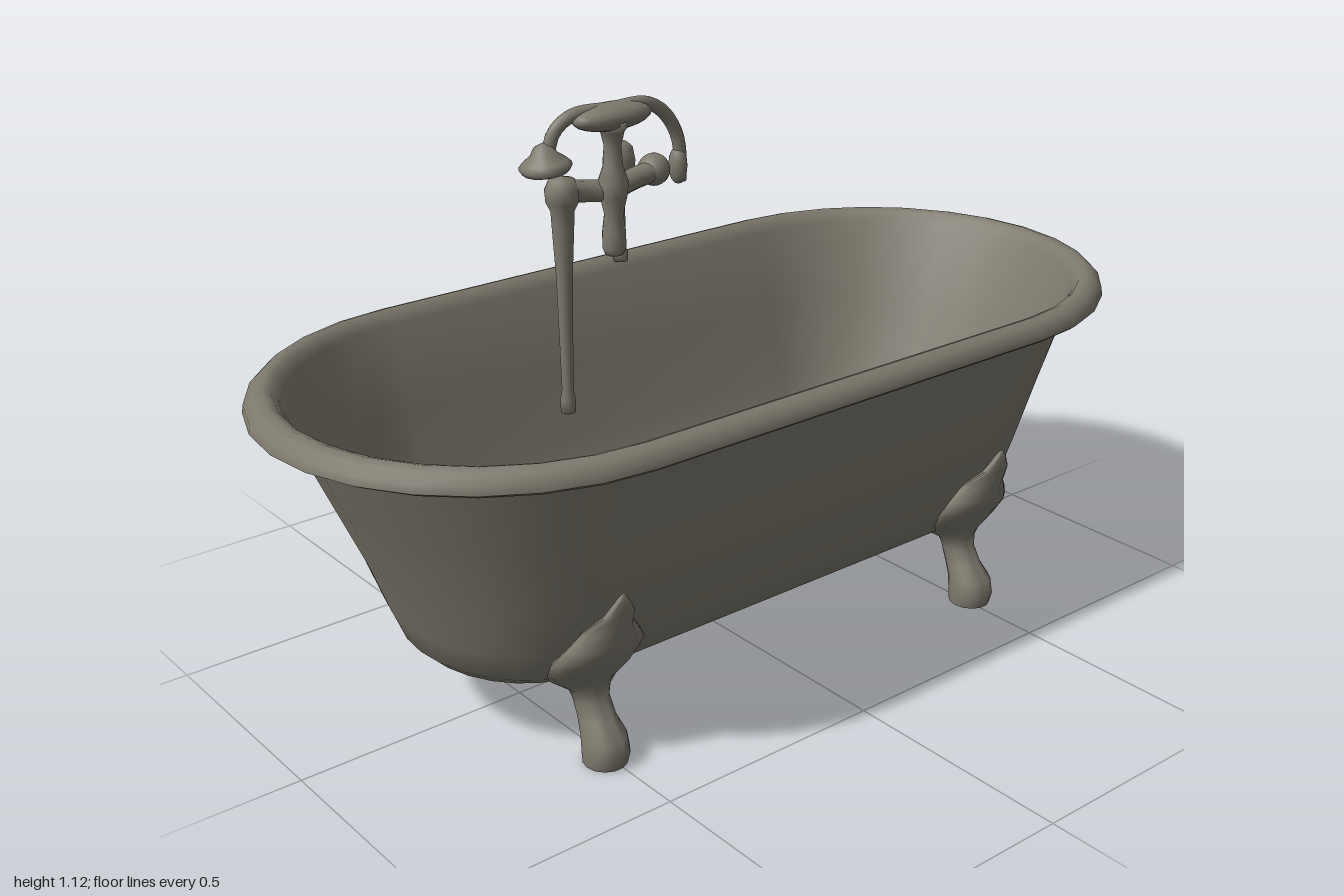
import * as THREE from 'three';
import { toCreasedNormals } from 'three/addons/utils/BufferGeometryUtils.js';

const metal = new THREE.MeshStandardMaterial({ color: 0x7d796d });
metal.name = 'warm grey enamel';

// Skin a list of equal-length rings, ordered bottom to top, counter-wise from +x to +z
function loft(rings, crease = 0.7) {
  const n = rings[0].length, pos = rings.flat(2), idx = [];
  for (let i = 0; i < rings.length - 1; i++) {
    for (let j = 0; j < n; j++) {
      const k = (j + 1) % n, a = i * n + j, b = i * n + k;
      idx.push(a, a + n, b, b, a + n, b + n);
    }
  }
  const g = new THREE.BufferGeometry();
  g.setAttribute('position', new THREE.Float32BufferAttribute(pos, 3));
  g.setIndex(idx);
  return toCreasedNormals(g, crease);
}

// Stadium outline: straight sides with elliptical ends
function stadium(hx, hz, y, straight = 0.5) {
  const pts = [], steps = 14, s = Math.min(straight, hx);
  for (const side of [1, -1]) {
    for (let i = 0; i <= steps; i++) {
      const a = (i / steps - 0.5) * Math.PI;
      pts.push([side * (s + (hx - s) * Math.cos(a)), y, side * hz * Math.sin(a)]);
    }
  }
  return pts;
}

function add(group, geometry, name, x = 0, y = 0, z = 0) {
  const m = new THREE.Mesh(geometry, metal);
  m.name = name;
  m.position.set(x, y, z);
  group.add(m);
  return m;
}

const lathe = pts => new THREE.LatheGeometry(pts.map(p => new THREE.Vector2(...p)), 16);

function tube(points, r) {
  const curve = new THREE.CatmullRomCurve3(points.map(p => new THREE.Vector3(...p)));
  return new THREE.TubeGeometry(curve, 28, r, 10);
}

// Clawed foot that spreads into a leaf lying against the tub wall
function footGeometry() {
  // y, centre z, half width, half depth
  const sections = [
    [0.005, 0.31, 0, 0], [0.005, 0.31, 0.044, 0.046], [0.03, 0.313, 0.047, 0.05],
    [0.065, 0.307, 0.044, 0.05], [0.095, 0.285, 0.036, 0.043], [0.13, 0.267, 0.036, 0.037],
    [0.155, 0.262, 0.045, 0.038], [0.175, 0.27, 0.075, 0.038], [0.205, 0.292, 0.1, 0.036],
    [0.245, 0.318, 0.108, 0.034], [0.275, 0.335, 0.085, 0.028], [0.31, 0.35, 0.057, 0.022],
    [0.35, 0.365, 0.035, 0.016], [0.385, 0.377, 0.013, 0.009], [0.4, 0.38, 0, 0],
  ];
  return loft(sections.map(([y, z, w, d]) => {
    const ring = [];
    for (let i = 0; i < 14; i++) {
      const a = i / 14 * Math.PI * 2, c = Math.cos(a);
      // leaf edges curl back toward the wall
      const curl = w > 0.05 ? -0.025 * c * c : 0;
      ring.push([w * c, y, z + d * Math.sin(a) + curl]);
    }
    return ring;
  }), 0.9);
}

export function createModel() {
  const model = new THREE.Group();
  model.name = 'clawfoot bathtub';

  // Tub shell: underside, outer wall, rolled rim, inner wall, floor
  add(model, loft([
    stadium(0.5, 0, 0.15), stadium(0.66, 0.215, 0.15), stadium(0.70, 0.235, 0.16),
    stadium(0.725, 0.27, 0.185), stadium(0.75, 0.305, 0.25), stadium(0.79, 0.34, 0.36),
    stadium(0.86, 0.38, 0.52), stadium(0.93, 0.42, 0.68), stadium(0.945, 0.432, 0.677),
    stadium(0.985, 0.472, 0.675), stadium(1.0, 0.482, 0.683), stadium(0.997, 0.48, 0.7),
    stadium(0.98, 0.465, 0.716), stadium(0.96, 0.447, 0.722), stadium(0.943, 0.432, 0.716),
    stadium(0.93, 0.42, 0.695), stadium(0.85, 0.373, 0.52), stadium(0.78, 0.333, 0.36),
    stadium(0.735, 0.295, 0.25), stadium(0.70, 0.258, 0.2), stadium(0.66, 0.225, 0.18),
    stadium(0.5, 0, 0.175),
  ]), 'tub');

  // Four feet
  const foot = footGeometry();
  for (const x of [-0.51, 0.51]) {
    add(model, foot, 'frontFoot', x);
    add(model, foot, 'backFoot', x).rotation.y = Math.PI;
  }

  const tap = new THREE.Group();
  tap.name = 'tap';
  model.add(tap);

  // Supply pipe reaching down inside the tub
  add(tap, lathe([[0, 0.44], [0.017, 0.44], [0.017, 0.47], [0.013, 0.49], [0.015, 0.6], [0.018, 0.75],
    [0.024, 0.86], [0.026, 0.9], [0.036, 0.92], [0.038, 0.945], [0.028, 0.968], [0, 0.975]]),
  'supplyPipe', -0.145, 0, -0.305);

  // Rim post with a rounded knob
  add(tap, lathe([[0, 0.71], [0.017, 0.71], [0.017, 0.73], [0.012, 0.74], [0.012, 0.85], [0.018, 0.89],
    [0.034, 0.92], [0.037, 0.945], [0.032, 0.972], [0.02, 0.984], [0, 0.986]]),
  'rimPost', 0.095, 0, -0.425);

  // Mixer body and spout
  add(tap, tube([[-0.15, 0.945, -0.3], [-0.09, 0.935, -0.295], [-0.035, 0.93, -0.285],
    [0.04, 0.94, -0.295], [0.12, 0.95, -0.3]], 0.024), 'mixerBar');
  add(tap, new THREE.SphereGeometry(0.036, 16, 10), 'mixerEnd', 0.1, 0.947, -0.305);
  add(tap, lathe([[0, 0.79], [0.02, 0.79], [0.026, 0.805], [0.026, 0.84], [0.021, 0.88], [0.03, 0.92],
    [0.034, 0.95], [0.022, 0.985], [0.019, 1.03], [0.026, 1.06], [0.045, 1.085], [0, 1.095]]),
  'spout', -0.035, 0, -0.272);

  // Handset resting on its cradle
  add(tap, new THREE.SphereGeometry(1, 18, 12), 'cradle', -0.035, 1.093, -0.272)
    .scale.set(0.1, 0.03, 0.045);
  add(tap, tube([[-0.185, 1.03, -0.295], [-0.17, 1.075, -0.292], [-0.13, 1.105, -0.285],
    [-0.035, 1.108, -0.275], [0.06, 1.105, -0.28], [0.115, 1.075, -0.288],
    [0.152, 1.02, -0.29], [0.162, 0.96, -0.29], [0.16, 0.915, -0.29]], 0.015), 'handsetHandle');
  add(tap, lathe([[0, -0.018], [0.05, -0.018], [0.057, -0.006], [0.048, 0.004], [0.03, 0.018],
    [0.02, 0.035], [0, 0.045]]), 'showerHead', -0.192, 1.013, -0.295).rotation.z = 0.12;
  add(tap, new THREE.SphereGeometry(1, 12, 8), 'handsetTail', 0.155, 0.95, -0.29)
    .scale.set(0.02, 0.042, 0.024);

  return model;
}
